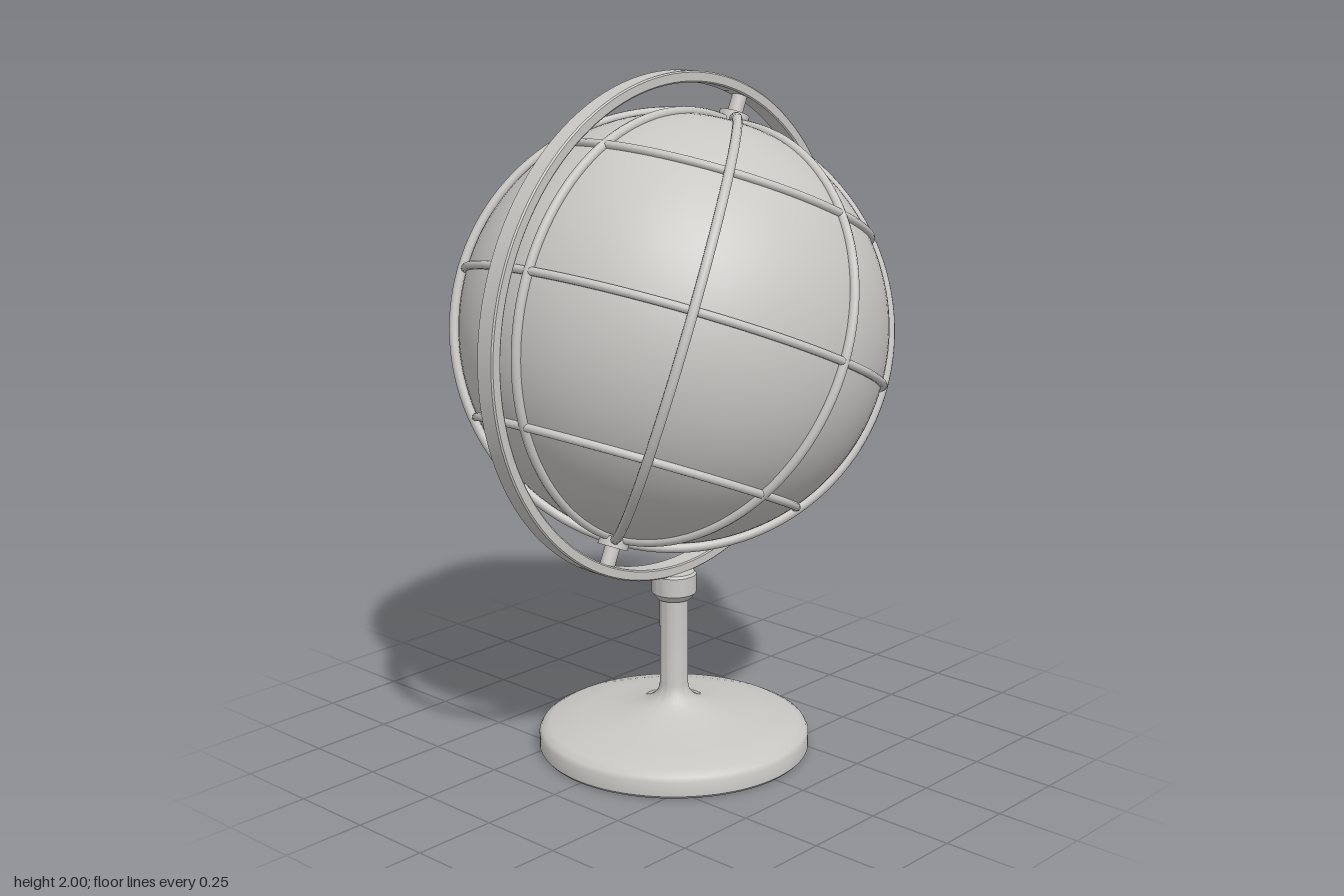
import * as THREE from 'three';
import { toCreasedNormals } from 'three/addons/utils/BufferGeometryUtils.js';

const CENTER_Y = 1.27;
const TILT = THREE.MathUtils.degToRad(23.5);
const BALL = 0.612;

const grey = new THREE.MeshStandardMaterial({ color: 0xc8c7c4 });
grey.name = 'light grey';

function part(name, geometry, parent) {
  const mesh = new THREE.Mesh(geometry, grey);
  mesh.name = name;
  parent.add(mesh);
  return mesh;
}

// Profile runs counterclockwise (upward on the outside) so faces point out
function lathe(points, segments = 96) {
  const g = new THREE.LatheGeometry(points.map(([x, y]) => new THREE.Vector2(x, y)), segments);
  return toCreasedNormals(g, 0.6);
}

export function createModel() {
  const model = new THREE.Group();
  model.name = 'deskGlobe';

  // Foot with a domed top that sweeps up into the post
  part('base', lathe([
    [0, 0], [0.395, 0], [0.402, 0.008], [0.402, 0.05], [0.395, 0.063], [0.372, 0.075],
    [0.28, 0.092], [0.2, 0.106], [0.13, 0.122], [0.09, 0.136], [0.062, 0.153],
    [0.047, 0.172], [0.042, 0.195], [0.042, 0.48],
  ]), model);

  // Socket that holds the upright ring
  part('socket', lathe([
    [0, 0.462], [0.05, 0.462], [0.066, 0.482], [0.066, 0.538], [0.06, 0.545], [0, 0.545],
  ], 48), model);

  // Upright ring in the xy plane, with small chamfers
  const ring = part('uprightRing', lathe([
    [0.698, -0.027], [0.702, -0.03], [0.726, -0.03], [0.73, -0.026],
    [0.73, 0.026], [0.726, 0.03], [0.702, 0.03], [0.698, 0.027], [0.698, -0.027],
  ], 128), model);
  ring.rotation.x = Math.PI / 2;
  ring.position.y = CENTER_Y;

  // Tilted globe
  const globe = new THREE.Group();
  globe.name = 'globe';
  globe.position.y = CENTER_Y;
  globe.rotation.z = -TILT;
  model.add(globe);
  part('ball', new THREE.SphereGeometry(BALL, 96, 64), globe);

  // Four meridian hoops
  for (let i = 0; i < 4; i++) {
    const radius = i % 2 ? 0.624 : 0.616;
    const hoop = part('meridian', new THREE.TorusGeometry(radius, 0.014, 10, 128), globe);
    hoop.rotation.y = i * Math.PI / 4;
  }

  // Equator and two parallels
  for (const degrees of [-40, 0, 40]) {
    const a = THREE.MathUtils.degToRad(degrees);
    const hoop = part(degrees ? 'parallel' : 'equator',
      new THREE.TorusGeometry(0.616 * Math.cos(a), 0.012, 10, 128), globe);
    hoop.rotation.x = Math.PI / 2;
    hoop.position.y = 0.616 * Math.sin(a);
  }

  // Pivot pin and collar at each pole
  for (const side of [-1, 1]) {
    const pin = part('pivotPin', new THREE.CylinderGeometry(0.022, 0.022, 0.11, 24), globe);
    pin.position.y = side * 0.655;
    const collar = part('poleCollar', new THREE.CylinderGeometry(0.044, 0.044, 0.03, 32), globe);
    collar.position.y = side * 0.63;
  }

  return model;
}
